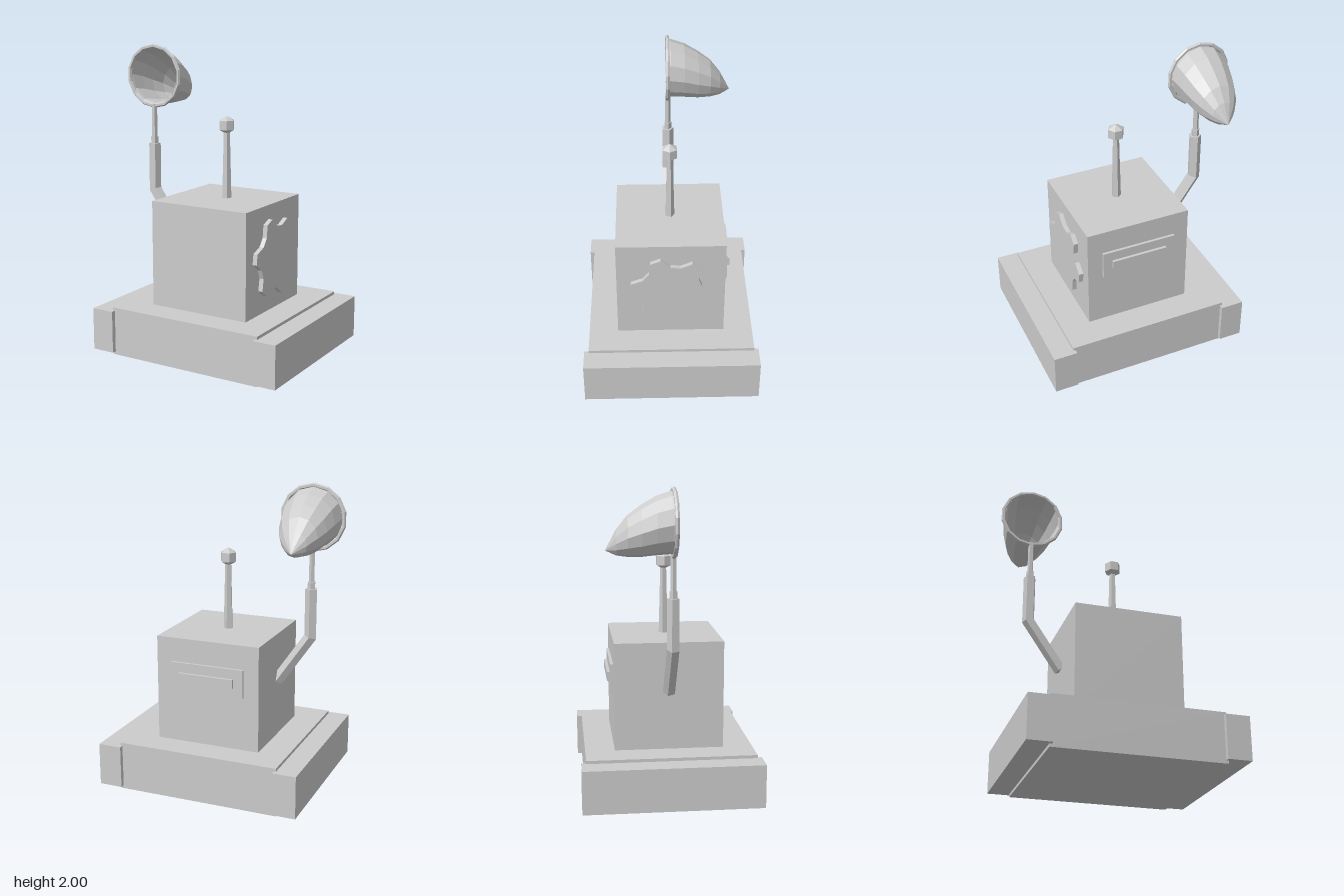
import * as THREE from 'three';

// Surface through rings of equal point count, each ring closed
function loft(rings) {
  const n = rings[0].length, index = [];
  for (let i = 0; i < rings.length - 1; i++) {
    for (let j = 0; j < n; j++) {
      const a = i * n + j, b = i * n + (j + 1) % n;
      index.push(a, b, b + n, a, b + n, a + n);
    }
  }
  const g = new THREE.BufferGeometry();
  g.setAttribute('position', new THREE.Float32BufferAttribute(rings.flat(2), 3));
  g.setIndex(index);
  const flat = g.toNonIndexed();
  flat.computeVertexNormals();
  return flat;
}

const ring = (n, f) => Array.from({ length: n }, (_, j) => f(j / n * Math.PI * 2));

export function createModel() {
  const model = new THREE.Group();
  const grey = new THREE.MeshStandardMaterial({ color: 0xcccccc, flatShading: true, side: THREE.DoubleSide });
  grey.name = 'plain grey';

  const add = (name, geometry, x = 0, y = 0, z = 0) => {
    const mesh = new THREE.Mesh(geometry, grey);
    mesh.name = name;
    mesh.position.set(x, y, z);
    model.add(mesh);
    return mesh;
  };
  // Box from its lower and upper corners
  const box = (name, [x0, y0, z0], [x1, y1, z1]) =>
    add(name, new THREE.BoxGeometry(x1 - x0, y1 - y0, z1 - z0), (x0 + x1) / 2, (y0 + y1) / 2, (z0 + z1) / 2);
  // Upright five-sided rod with a flat side to the front
  const rod = (name, x, y0, y1, r0, r1) =>
    add(name, new THREE.CylinderGeometry(r1, r0, y1 - y0, 5).rotateY(Math.PI), x, (y0 + y1) / 2, 0);

  // Base, side blocks and body
  box('base', [-0.49, 0, -0.54], [0.59, 0.32, 0.54]);
  box('rightTread', [-0.63, 0.02, -0.57], [-0.475, 0.3, 0.57]);
  box('leftTread', [0.575, 0.02, -0.57], [0.73, 0.3, 0.57]);
  box('body', [-0.3, 0.32, -0.35], [0.4, 1.017, 0.35]);

  // Raised panel on the back
  box('backPanel', [-0.2, 0.674, -0.368], [0.3, 0.86, -0.34]);
  box('backPanelBar', [-0.135, 0.737, -0.387], [0.24, 0.796, -0.36]);

  // Six-lobed gear on the left side
  const outline = [];
  for (let i = 0; i < 6; i++) {
    for (const [offset, r] of [[-7.5, 0.267], [7.5, 0.267], [21, 0.206], [39, 0.206]]) {
      const a = THREE.MathUtils.degToRad(52 + i * 60 + offset);
      outline.push(new THREE.Vector2(r * Math.cos(a), r * Math.sin(a)));
    }
  }
  const gear = new THREE.ExtrudeGeometry(new THREE.Shape(outline), { depth: 0.04, bevelEnabled: false });
  add('sideGear', gear.rotateY(Math.PI / 2), 0.39, 0.668, 0);

  // Antenna
  rod('antennaStem', 0.05, 1.01, 1.45, 0.032, 0.021);
  add('antennaKnob', new THREE.SphereGeometry(0.06, 6, 3), 0.05, 1.495, 0);

  // Bent arm: centre, side direction and radius of each ring, closed at both ends
  const armRings = [
    [-0.3, 0.7, 0.824, 0.567, 0], [-0.3, 0.7, 0.824, 0.567, 0.041],
    [-0.52, 1.02, 1, 0.311, 0.041],
    [-0.52, 1.335, 1, 0, 0.041], [-0.52, 1.335, 1, 0, 0],
  ].map(([x, y, nx, ny, r]) => ring(5, a => {
    const s = -r * Math.sin(a);
    return [x + nx * s, y + ny * s, -r * Math.cos(a)];
  }));
  add('arm', loft(armRings));
  rod('armCollar', -0.52, 1.33, 1.38, 0.026, 0.026);
  rod('dishRod', -0.52, 1.37, 1.6, 0.019, 0.019);

  // Dish drooping toward its tip: depth, centre height and radius of each ring
  const dishRings = [
    [0, 1.787, 0.191], [-0.02, 1.79, 0.187], [-0.11, 1.772, 0.175], [-0.2, 1.741, 0.153],
    [-0.28, 1.712, 0.122], [-0.345, 1.676, 0.076], [-0.41, 1.63, 0],
  ].map(([z, y, r]) => ring(12, a => [-0.52 + r * Math.cos(a), y - r * Math.sin(a), z]));
  add('dish', loft(dishRings));
  add('dishRim', new THREE.TorusGeometry(0.201, 0.014, 6, 14).rotateZ(Math.PI / 14), -0.52, 1.787, 0);

  return model;
}
